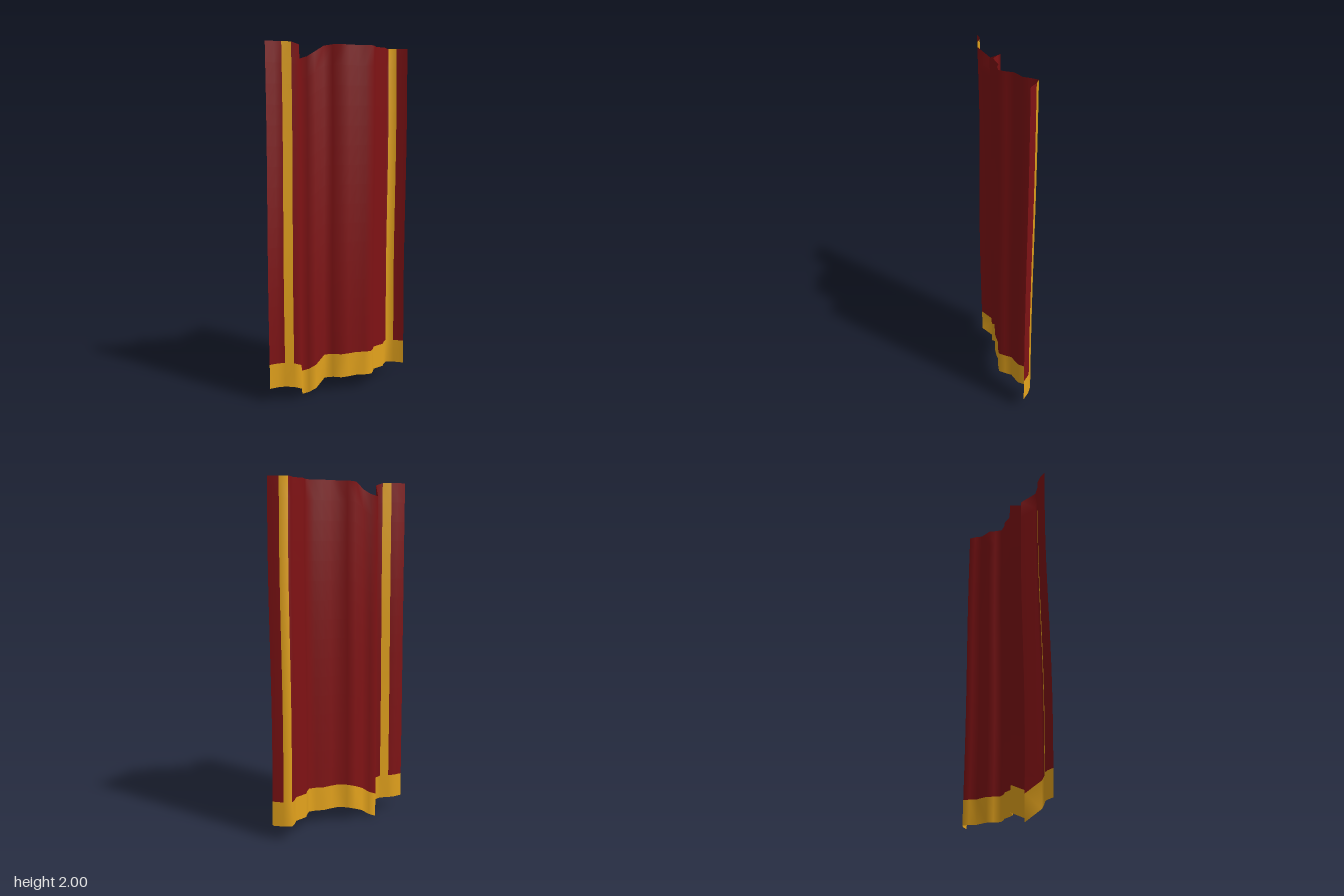
import * as THREE from 'three';

// Fold profile across the cloth: x, z, and how far that column sags
const COLUMNS = [
  [-0.45, 0, 0], [-0.40, 0, 0], [-0.36, 0.01, 0], [-0.315, 0.036, 0.002],
  [-0.275, 0.047, 0.016], [-0.235, -0.03, 0.082], [-0.2, -0.01, 0.07], [-0.165, 0.012, 0.045],
  [-0.09, -0.025, 0.007], [-0.05, 0.004, 0], [-0.012, 0.037, 0], [0.035, 0.042, 0],
  [0.09, 0.042, 0], [0.13, 0.06, 0], [0.175, 0.068, 0], [0.205, 0.038, 0],
  [0.23, 0.006, 0], [0.305, -0.012, 0], [0.335, -0.046, 0], [0.365, -0.07, 0],
  [0.405, -0.045, 0], [0.45, 0, 0],
];
const HEM = 0.225, BOTTOM = 0.083, TOP = 2, STEPS = 16;
const TRIM_COLUMNS = { rightTrim: 2, leftTrim: 19 };

export function createModel() {
  const group = new THREE.Group();
  group.name = 'curtain';
  const n = COLUMNS.length;

  // Row heights: the hem band first, then even steps to the top
  const rows = [BOTTOM];
  for (let i = 0; i <= STEPS; i++) rows.push(HEM + (TOP - HEM) * i / STEPS);

  // Cloth vertices with a faint sway down the length
  const positions = [];
  for (const y of rows) {
    const sway = Math.sin((y - 0.2) * Math.PI / 0.9);
    for (const [x, z, sag] of COLUMNS) {
      const loose = 0.5 - x;
      positions.push(x - 0.004 * sway, y - sag, z + 0.005 * loose * sway);
    }
  }

  // Sort the quads into parts
  const parts = { fabric: [], hem: [], rightTrim: [], leftTrim: [] };
  const all = [];
  for (let r = 0; r < rows.length - 1; r++) {
    for (let c = 0; c < n - 1; c++) {
      const a = r * n + c;
      const quad = [a, a + 1, a + n + 1, a, a + n + 1, a + n];
      const trim = Object.keys(TRIM_COLUMNS).find((k) => TRIM_COLUMNS[k] === c);
      parts[r === 0 ? 'hem' : trim || 'fabric'].push(...quad);
      all.push(...quad);
    }
  }

  // Smooth normals over the whole cloth, shared by every part
  const cloth = new THREE.BufferGeometry();
  cloth.setAttribute('position', new THREE.Float32BufferAttribute(positions, 3));
  cloth.setIndex(all);
  cloth.computeVertexNormals();

  const red = new THREE.MeshStandardMaterial({ color: 0x7f1214, side: THREE.DoubleSide });
  const gold = new THREE.MeshStandardMaterial({ color: 0xe4a31c, side: THREE.DoubleSide });
  for (const [name, index] of Object.entries(parts)) {
    const geometry = cloth.clone();
    geometry.setIndex(index);
    const mesh = new THREE.Mesh(geometry, name === 'fabric' ? red : gold);
    mesh.name = name;
    group.add(mesh);
  }
  return group;
}
